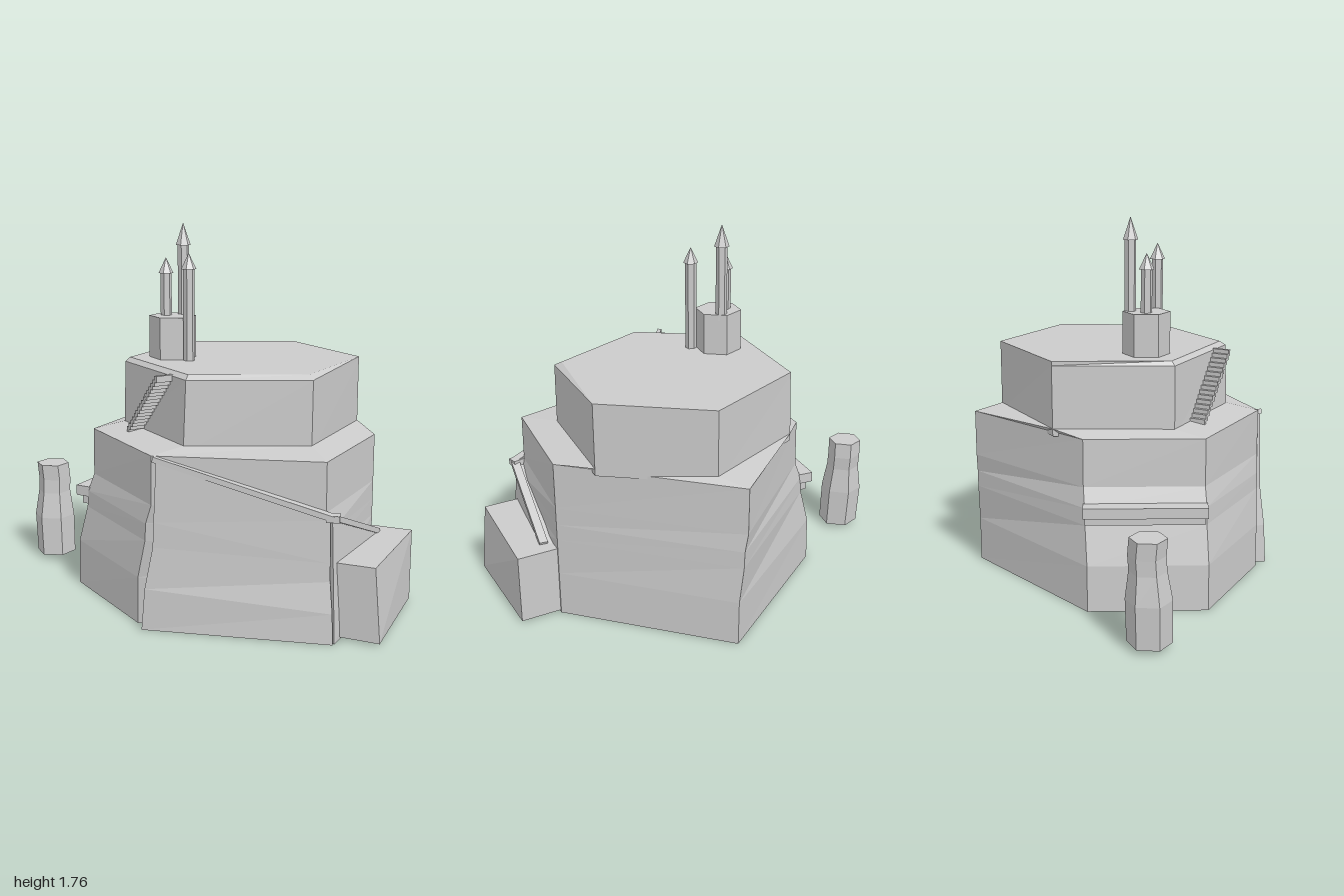
import * as THREE from 'three';

const material = new THREE.MeshStandardMaterial({ color: 0xcccccc, flatShading: true });

// Closed faceted solid from rings of [x, y, z] points, counter-clockwise from above, bottom to top
function loft(name, rings) {
  const n = rings[0].length, pos = [];
  const tri = (a, b, c) => pos.push(...a, ...b, ...c);
  for (let r = 0; r < rings.length - 1; r++) {
    for (let i = 0; i < n; i++) {
      const j = (i + 1) % n, lo = rings[r], hi = rings[r + 1];
      tri(lo[i], lo[j], hi[j]);
      tri(lo[i], hi[j], hi[i]);
    }
  }
  const bottom = rings[0], top = rings[rings.length - 1];
  for (let i = 1; i < n - 1; i++) {
    tri(top[0], top[i], top[i + 1]);
    tri(bottom[0], bottom[i + 1], bottom[i]);
  }
  const geometry = new THREE.BufferGeometry();
  geometry.setAttribute('position', new THREE.Float32BufferAttribute(pos, 3));
  geometry.computeVertexNormals();
  const mesh = new THREE.Mesh(geometry, material);
  mesh.name = name;
  return mesh;
}

const atHeight = (outline, y) => outline.map(([x, z]) => [x, y, z]);
const mix = (a, b, t) => a.map((v, i) => v + (b[i] - v) * t);

function solid(name, geometry, x, y, z, turn = 0) {
  const mesh = new THREE.Mesh(geometry, material);
  mesh.name = name;
  mesh.position.set(x, y, z);
  mesh.rotation.y = turn;
  return mesh;
}

// Square-section bar between two points
function beam(name, from, to, width, height) {
  const a = new THREE.Vector3(...from), b = new THREE.Vector3(...to);
  const mesh = new THREE.Mesh(new THREE.BoxGeometry(width, height, a.distanceTo(b)), material);
  mesh.name = name;
  mesh.position.copy(a).add(b).multiplyScalar(0.5);
  mesh.lookAt(b);
  return mesh;
}

export function createModel() {
  const group = new THREE.Group();

  // Upper tier with a bevelled rim along the front
  const upper = [[0.68, -0.22], [0.26, -0.58], [-0.27, -0.39], [-0.38, 0.16], [0.06, 0.52], [0.59, 0.34]];
  const upperFoot = [[0.68, -0.22], [0.26, -0.58], [-0.28, -0.39], [-0.39, 0.16], [0.05, 0.53], [0.59, 0.345]];
  const upperRim = [[0.68, -0.22], [0.26, -0.58], [-0.27, -0.39], [-0.36, 0.15], [0.06, 0.49], [0.565, 0.31]];
  group.add(loft('upperTier', [
    atHeight(upperFoot, 0.78), atHeight(upper, 1.11), atHeight(upperRim, 1.13),
  ]));

  // Lower tier, stepping inwards as it rises
  const foot = [[0.8, -0.04], [0.23, -0.71], [-0.51, -0.27], [-0.595, 0.28], [-0.13, 0.65], [0.75, 0.56]];
  const brow = [[0.8, -0.04], [0.19, -0.72], [-0.41, -0.27], [-0.5, 0.28], [-0.05, 0.665], [0.7, 0.52]];
  const steps = [[0, 0], [0.22, 0.05], [0.4, 0.55], [0.48, 0.6], [0.57, 0.97], [0.795, 1]];
  const lowerRings = steps.map(([y, t]) => atHeight(foot.map((p, i) => mix(p, brow[i], t)), y));
  group.add(loft('lowerTier', [...lowerRings, atHeight(upperFoot, 0.815)]));

  // Front buttress carrying the ramp
  const wallFoot = [[0.76, 0.6], [0.68, 0.45], [-0.08, 0.55], [-0.085, 0.715]];
  const wallTop = [[0.725, 0.545], [0.66, 0.45], [-0.02, 0.55], [-0.02, 0.685]];
  const wallHeight = [0.545, 0.545, 0.77, 0.77];
  group.add(loft('frontButtress', [[0, 0], [0.25, 0.22], [0.5, 0.75], [0.65, 0.82], [1, 1]].map(([h, t]) =>
    wallFoot.map((p, i) => {
      const [x, z] = mix(p, wallTop[i], t);
      return [x, wallHeight[i] * h, z];
    }))));

  // Side buttress, sloping down to the side block
  const sideFoot = [[0.85, 0.04], [0.78, 0], [0.66, 0.5], [0.765, 0.59]];
  const sideTop = [[0.85, 0.345, 0.04], [0.78, 0.345, 0], [0.66, 0.545, 0.5], [0.735, 0.545, 0.545]];
  group.add(loft('sideButtress', [atHeight(sideFoot, 0), sideTop]));

  // Ramp edging: front run, landing and side run
  group.add(beam('frontRamp', [-0.04, 0.785, 0.665], [0.74, 0.555, 0.54], 0.045, 0.025));
  group.add(solid('rampLanding', new THREE.BoxGeometry(0.06, 0.03, 0.05), 0.735, 0.555, 0.535, 0.17));
  group.add(beam('sideRamp', [0.745, 0.555, 0.54], [0.835, 0.35, 0.04], 0.04, 0.025));

  // Side block
  const blockFoot = [[0.995, -0.02], [0.7, -0.04], [0.68, 0.52], [0.955, 0.545]];
  const blockTop = [[0.995, -0.02], [0.7, -0.04], [0.68, 0.52], [0.925, 0.535]];
  group.add(loft('sideBlock', [atHeight(blockFoot, 0.01), atHeight(blockTop, 0.35)]));

  // Ledge along the other side
  group.add(beam('ledge', [-0.46, 0.475, -0.28], [-0.555, 0.475, 0.28], 0.1, 0.05));
  group.add(beam('ledgeSupport', [-0.445, 0.43, -0.27], [-0.54, 0.43, 0.27], 0.07, 0.04));

  // Staircase climbing the front of the upper tier
  const stairs = new THREE.Group();
  stairs.name = 'staircase';
  const stepCount = 16, stepBox = new THREE.BoxGeometry(0.02, 0.03, 0.085);
  for (let i = 0; i < stepCount; i++) {
    const t = i / (stepCount - 1);
    stairs.add(solid('stair', stepBox, -0.275 + 0.21 * t, 0.815 + 0.285 * t, 0.295 + 0.17 * t, -0.685));
  }
  group.add(stairs);

  // Hexagonal keep and its spired towers: x, z, foot, eaves, tip
  group.add(solid('keep', new THREE.CylinderGeometry(0.112, 0.112, 0.2, 6), -0.17, 1.23, 0.07, -0.2));
  for (const [x, z, y0, y1, y2] of [
    [-0.14, 0, 1.3, 1.66, 1.765], [-0.205, 0.063, 1.3, 1.53, 1.605], [-0.06, 0.145, 1.13, 1.56, 1.635],
  ]) {
    group.add(solid('tower', new THREE.CylinderGeometry(0.027, 0.027, y1 - y0, 6), x, (y0 + y1) / 2, z));
    group.add(solid('spire', new THREE.ConeGeometry(0.036, y2 - y1, 6), x, (y1 + y2) / 2, z));
  }

  // Detached rock pillar: height, centre x, centre z, radius
  const pillar = [
    [0.02, -0.893, -0.06, 0.1], [0.22, -0.9, -0.065, 0.103], [0.35, -0.9, -0.07, 0.083],
    [0.42, -0.9, -0.075, 0.083], [0.5, -0.905, -0.07, 0.083],
  ];
  group.add(loft('rockPillar', pillar.map(([y, cx, cz, r]) =>
    Array.from({ length: 6 }, (_, i) => {
      const a = 0.25 + i * Math.PI / 3;
      return [cx + r * Math.cos(a), y, cz - r * Math.sin(a)];
    }))));

  return group;
}
